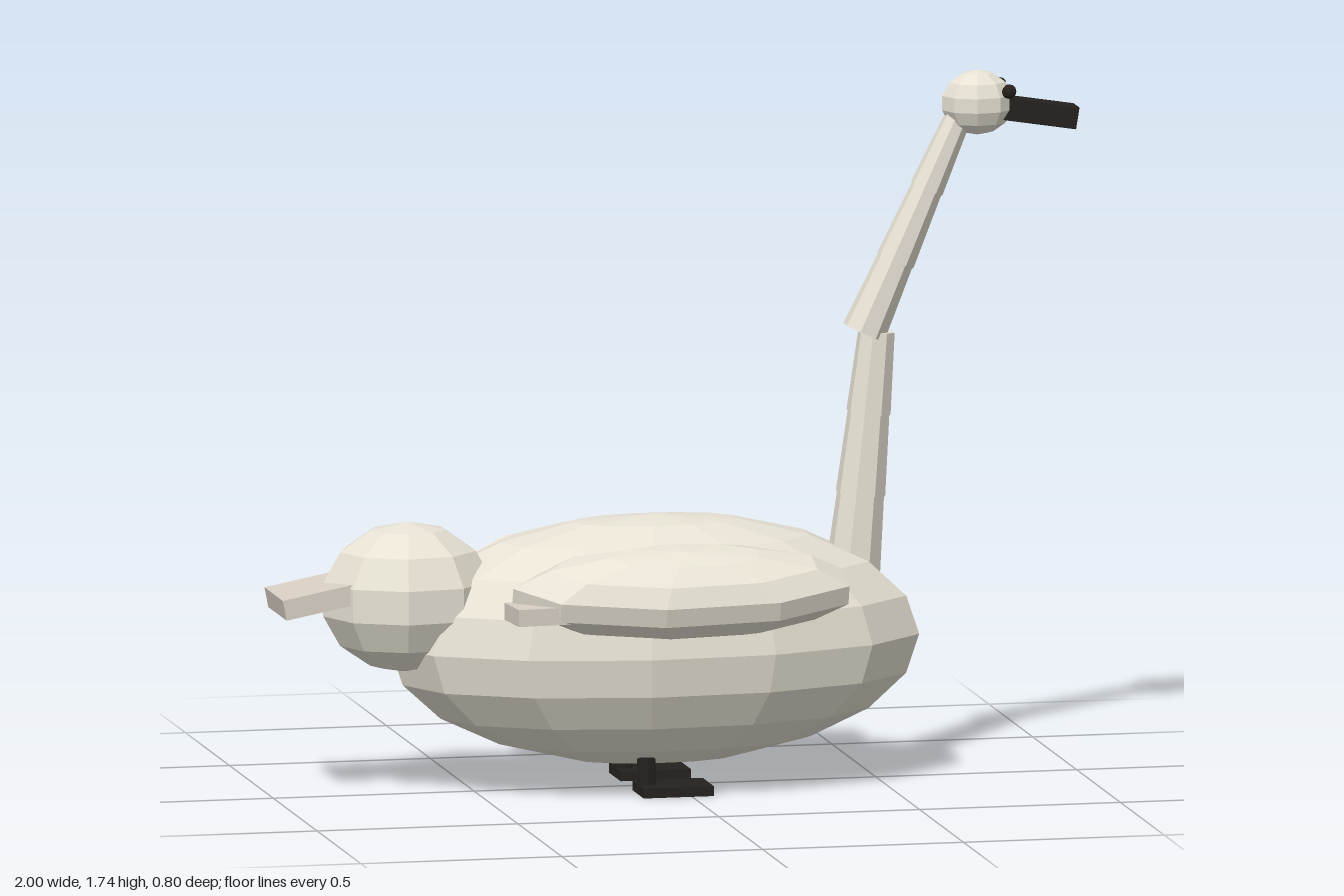
import * as THREE from 'three';

const mat = (color) => new THREE.MeshStandardMaterial({ color, flatShading: true });

export function createModel() {
  const model = new THREE.Group();
  const white = mat(0xe6e1d3);
  const cream = mat(0xd8d0c4);
  const black = mat(0x25211e);

  function add(name, geometry, material, position, rotation = [0, 0, 0]) {
    const mesh = new THREE.Mesh(geometry, material);
    mesh.name = name;
    mesh.position.set(...position);
    mesh.rotation.set(...rotation);
    model.add(mesh);
    return mesh;
  }
  const ellipsoid = (rx, ry, rz, sides, rows) =>
    new THREE.SphereGeometry(1, sides, rows).scale(rx, ry, rz);
  const box = (x, y, z) => new THREE.BoxGeometry(x, y, z);

  // Neck piece: three tapered sections stacked from one point to another
  function neck(name, from, to, r0, r1) {
    const a = new THREE.Vector3(...from), b = new THREE.Vector3(...to);
    const dir = b.clone().sub(a);
    const n = 3, length = dir.length() / n;
    const up = new THREE.Vector3(0, 1, 0);
    const turn = new THREE.Quaternion().setFromUnitVectors(up, dir.normalize());
    for (let i = 0; i < n; i++) {
      const low = THREE.MathUtils.lerp(r0, r1, i / n) + 0.002;
      const high = THREE.MathUtils.lerp(r0, r1, (i + 1) / n) - 0.001;
      const g = new THREE.CylinderGeometry(high, low, length, 8);
      g.rotateY(Math.PI / 8);
      const p = a.clone().addScaledVector(dir, length * (i + 0.5));
      add(name, g, white, p.toArray()).quaternion.copy(turn);
    }
  }

  // Body and raised rump
  add('body', ellipsoid(0.66, 0.307, 0.333, 13, 10), white, [-0.05, 0.362, 0]);
  add('rump', ellipsoid(0.216, 0.185, 0.186, 9, 7), white, [-0.665, 0.485, 0]);
  add('tail', box(0.3, 0.05, 0.21), cream, [-0.847, 0.507, 0], [0, 0, 0.19]);

  // Neck and head
  neck('lowerNeck', [0.442, 0.5, 0], [0.502, 1.1, 0], 0.066, 0.046);
  neck('upperNeck', [0.47, 1.097, 0], [0.705, 1.62, 0], 0.053, 0.034);
  add('head', ellipsoid(0.09, 0.08, 0.073, 9, 7), white, [0.753, 1.655, 0]);
  add('beak', box(0.2, 0.054, 0.068), black, [0.897, 1.627, 0], [0, 0, -0.16]);

  // Mirrored parts
  for (const s of [1, -1]) {
    const side = s > 0 ? 'right' : 'left';
    add(side + 'Wing', ellipsoid(0.437, 0.108, 0.157, 9, 7), white,
      [-0.032, 0.515, s * 0.248], [s * 0.28, 0, 0]);
    add(side + 'WingTip', box(0.2, 0.042, 0.115), cream,
      [-0.37, 0.48, s * 0.282], [0, s * 0.09, 0]);
    add(side + 'Eye', ellipsoid(0.018, 0.018, 0.018, 8, 6), black, [0.82, 1.687, s * 0.056]);
    add(side + 'Leg', new THREE.CylinderGeometry(0.023, 0.023, 0.085, 8), black,
      [-0.1, 0.05, s * 0.132]);
    add(side + 'Foot', box(0.175, 0.024, 0.13), black, [-0.033, 0.012, s * 0.132]);
  }
  return model;
}
